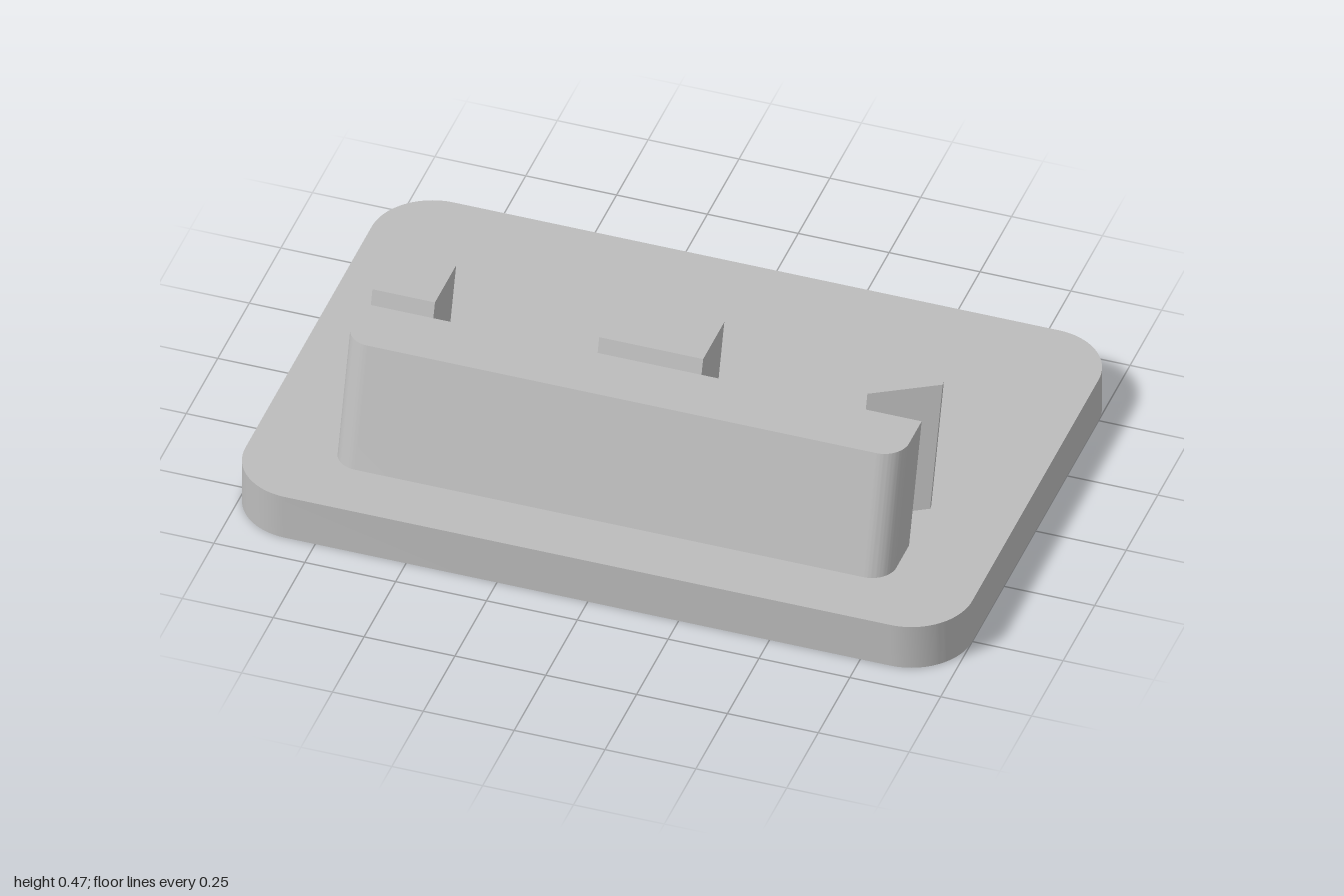
import * as THREE from 'three';
import { toCreasedNormals } from 'three/addons/utils/BufferGeometryUtils.js';

const BASE_H = 0.133, WALL_H = 0.334, LEAN = 0.1, R = 0.067;

// Upright prism with a plan outline in x and z; radii are for the corners
// front-left, back-left, back-right, front-right. The top is shifted back by lean.
function prism(name, material, x0, x1, z0, z1, radii, y, height, lean = 0) {
  const corners = [[x1, z1, -1, 1], [x1, z0, -1, -1], [x0, z0, 1, -1], [x0, z1, 1, 1]];
  const shape = new THREE.Shape();
  corners.forEach(([x, z, inX, outZ], i) => {
    const r = radii[i], a = (i - 1) * Math.PI / 2;
    if (r > 0) shape.absarc(x + inX * r, -(z - outZ * r), r, a, a + Math.PI / 2, false);
    else if (i === 0) shape.moveTo(x, -z);
    else shape.lineTo(x, -z);
  });
  shape.closePath();
  let geometry = new THREE.ExtrudeGeometry(shape, { depth: height, bevelEnabled: false, curveSegments: 12 });
  geometry.rotateX(-Math.PI / 2);
  const p = geometry.attributes.position;
  for (let i = 0; i < p.count; i++) p.setZ(i, p.getZ(i) - lean * p.getY(i) / height);
  geometry.translate(0, y, 0);
  geometry = toCreasedNormals(geometry, Math.PI / 6);
  const mesh = new THREE.Mesh(geometry, material);
  mesh.name = name;
  return mesh;
}

export function createModel() {
  const model = new THREE.Group();
  model.name = 'slottedStand';
  const grey = new THREE.MeshStandardMaterial({ color: 0xbcbcbc });
  grey.name = 'grey';

  // Rounded base plate
  model.add(prism('basePlate', grey, -1, 1, -0.667, 0.667, [0.167, 0.167, 0.167, 0.167], 0, BASE_H));

  // Leaning front wall, rounded on its front corners
  model.add(prism('frontWall', grey, -0.767, 0.767, 0.33, 0.497, [R, 0, 0, R], BASE_H, WALL_H, LEAN));

  // Three leaning rear supports, the outer ones rounded at the outer back corner
  const supports = [
    ['rightSupport', -0.767, -0.595, [0, 0, R, 0]],
    ['middleSupport', -0.143, 0.143, [0, 0, 0, 0]],
    ['leftSupport', 0.595, 0.767, [0, R, 0, 0]],
  ];
  for (const [name, x0, x1, radii] of supports) {
    model.add(prism(name, grey, x0, x1, 0.097, 0.265, radii, BASE_H, WALL_H, LEAN));
  }
  return model;
}
